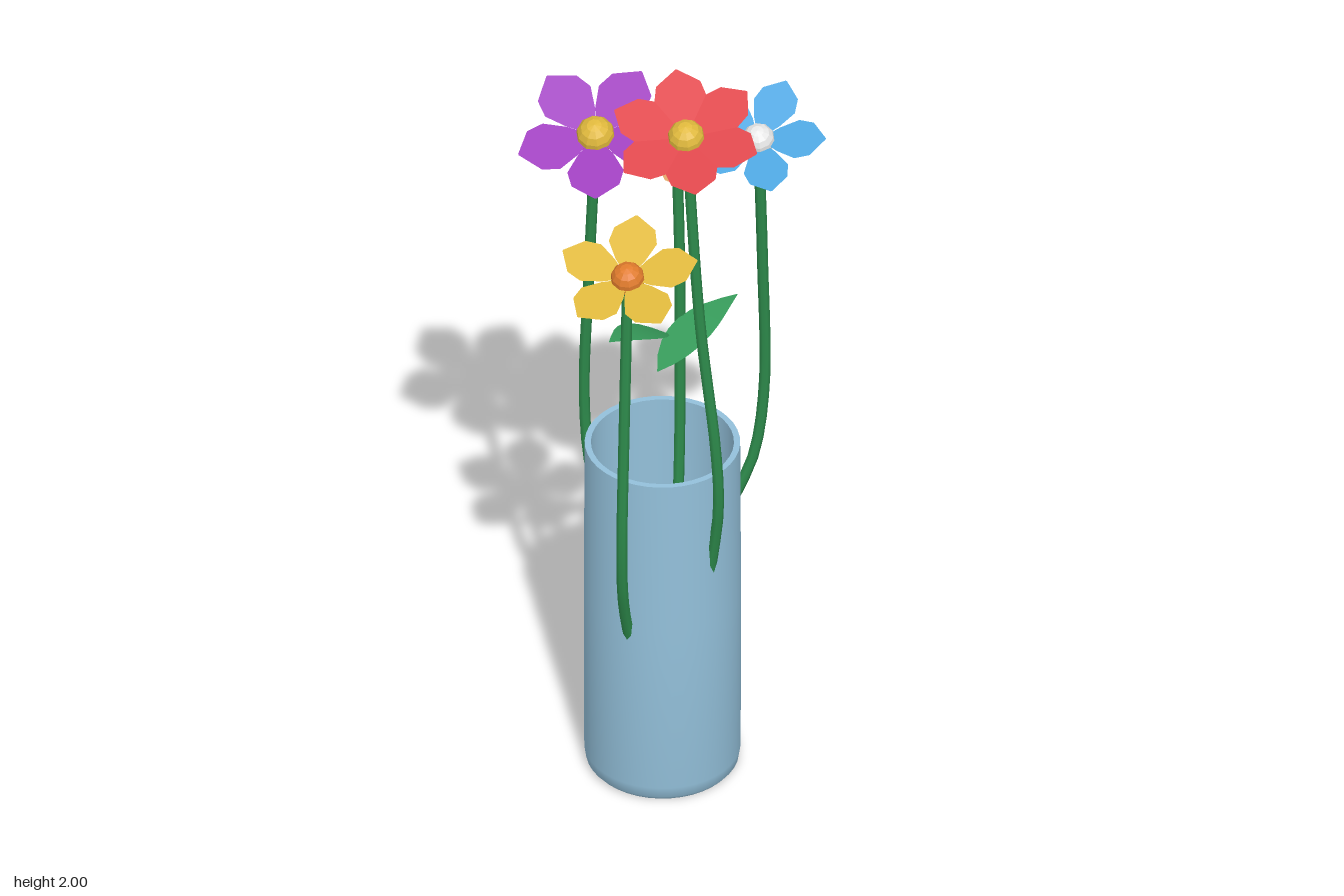
import * as THREE from 'three';
import { toCreasedNormals } from 'three/addons/utils/BufferGeometryUtils.js';

const paint = (name, color, side = THREE.FrontSide) => {
  const m = new THREE.MeshStandardMaterial({ color, side });
  m.name = name;
  return m;
};

// Flat blade made from rows of { point, side vector }
function blade(rows) {
  const pos = [], idx = [];
  rows.forEach(([p, s], i) => {
    for (const k of [-1, 0, 1]) pos.push(p.x + k * s.x, p.y + k * s.y, p.z + k * s.z);
    if (i === 0) return;
    for (const j of [0, 1]) {
      const a = (i - 1) * 3 + j, b = a + 3;
      idx.push(a, a + 1, b, a + 1, b + 1, b);
    }
  });
  const g = new THREE.BufferGeometry();
  g.setAttribute('position', new THREE.Float32BufferAttribute(pos, 3));
  g.setIndex(idx);
  g.computeVertexNormals();
  return g;
}

// Petal along +x, rising gently to its tip
function petalGeometry(length, width) {
  const outline = [[0.06, 0.04], [0.3, width * 0.62], [0.57, width], [0.79, width * 0.85], [1, 0.01]];
  return blade(outline.map(([r, w]) => [
    new THREE.Vector3(r * length, 0.13 * r * length, 0),
    new THREE.Vector3(0, 0, -w * length),
  ]));
}

// Pointed leaf arching from base to tip
function leafGeometry(base, mid, tip, halfWidth) {
  const curve = new THREE.QuadraticBezierCurve3(base, mid, tip);
  const across = new THREE.Vector3(tip.z - base.z, 0, base.x - tip.x).normalize();
  const rows = [];
  for (let i = 0; i <= 8; i++) {
    const t = i / 8;
    const w = halfWidth * Math.sin(Math.PI * Math.pow(t, 0.85)) + 0.001;
    rows.push([curve.getPoint(t), across.clone().multiplyScalar(w)]);
  }
  return blade(rows);
}

export function createModel() {
  const group = new THREE.Group();
  const both = THREE.DoubleSide;
  const vaseBlue = paint('vase blue', 0x93c0da);
  const red = paint('red', 0xe0484d, both);
  const purple = paint('purple', 0xa040c0, both);
  const blue = paint('sky blue', 0x4ea6e0, both);
  const yellow = paint('yellow', 0xdfb83c, both);
  const tan = paint('tan', 0xdfa468, both);
  const orange = paint('orange', 0xe07b2c);
  const white = paint('white', 0xe8e8e8);
  const stemGreen = paint('stem green', 0x2d8a4b);
  const leafGreen = paint('leaf green', 0x379c5b, both);

  const add = (parent, name, geometry, material) => {
    const mesh = new THREE.Mesh(geometry, material);
    mesh.name = name;
    parent.add(mesh);
    return mesh;
  };

  // Hollow vase with a rounded foot
  const profile = [[0, 0], [0.172, 0], [0.182, 0.012], [0.186, 0.04], [0.187, 0.5], [0.185, 0.925],
    [0.17, 0.925], [0.17, 0.03], [0, 0.03]].map(([x, y]) => new THREE.Vector2(x, y));
  const vase = add(group, 'vase', toCreasedNormals(new THREE.LatheGeometry(profile, 40), 0.7), vaseBlue);
  vase.position.set(-0.018, 0, -0.04);

  // Flowers: head centre, petal count and length, first petal angle, tilt, and the stem below the head
  const flowers = [
    { name: 'purpleFlower', at: [-0.18, 1.805, -0.04], petals: 5, length: 0.192, width: 0.35, turn: 7, tilt: 23,
      color: purple, heart: yellow,
      stem: [[-0.2, 1.4, -0.06], [-0.215, 1.0, -0.075], [-0.2, 0.8, -0.075], [-0.14, 0.55, -0.07], [-0.06, 0.1, -0.05]] },
    { name: 'redFlower', at: [0.065, 1.922, 0.085], petals: 6, length: 0.184, width: 0.34, turn: 12, tilt: 19,
      color: red, heart: yellow,
      stem: [[0.1, 1.4, 0.1], [0.14, 1.03, 0.107], [0.145, 0.86, 0.096], [0.13, 0.72, 0.075], [0.03, 0.1, 0]] },
    { name: 'blueFlower', at: [0.19, 1.757, -0.163], petals: 5, length: 0.163, width: 0.33, turn: -4, tilt: 22,
      color: blue, heart: white,
      stem: [[0.195, 1.4, -0.185], [0.195, 1.0, -0.205], [0.17, 0.8, -0.198], [0.11, 0.63, -0.173], [0.02, 0.1, -0.08]] },
    { name: 'yellowFlower', at: [-0.06, 1.55, 0.17], petals: 5, length: 0.17, width: 0.34, turn: 51, tilt: 18.5,
      color: yellow, heart: orange,
      stem: [[-0.063, 1.1, 0.2], [-0.066, 0.8, 0.21], [-0.069, 0.65, 0.188], [-0.068, 0.52, 0.145], [-0.03, 0.1, 0]] },
    { name: 'tanFlower', at: [-0.018, 1.675, -0.205], petals: 6, length: 0.126, width: 0.35, turn: 13, tilt: 20,
      color: tan, heart: red,
      stem: [[-0.01, 1.4, -0.2], [-0.005, 1.0, -0.185], [-0.005, 0.7, -0.165], [-0.015, 0.1, -0.09]] },
  ];

  for (const f of flowers) {
    const head = new THREE.Group();
    head.name = f.name;
    head.position.set(...f.at);
    head.rotation.x = THREE.MathUtils.degToRad(f.tilt);
    const petal = petalGeometry(f.length, f.width);
    for (let i = 0; i < f.petals; i++) {
      const p = add(head, 'petal', petal, f.color);
      p.rotation.y = -THREE.MathUtils.degToRad(f.turn + i * 360 / f.petals);
    }
    const heart = toCreasedNormals(new THREE.SphereGeometry(f.length * 0.245, 10, 8), 0.1);
    add(head, 'flowerCentre', heart, f.heart);
    group.add(head);

    const path = new THREE.CatmullRomCurve3([f.at, ...f.stem].map((p) => new THREE.Vector3(...p)));
    add(group, 'stem', new THREE.TubeGeometry(path, 28, 0.0135, 7), stemGreen);
  }

  // Two leaves arching out over the vase mouth
  const v = (x, y, z) => new THREE.Vector3(x, y, z);
  add(group, 'frontLeaf', leafGeometry(v(-0.005, 1.25, -0.035), v(-0.05, 1.34, 0.065), v(-0.105, 1.355, 0.168), 0.05), leafGreen);
  add(group, 'backLeaf', leafGeometry(v(-0.03, 1.13, -0.04), v(0.03, 1.215, -0.14), v(0.117, 1.213, -0.272), 0.052), leafGreen);

  return group;
}
